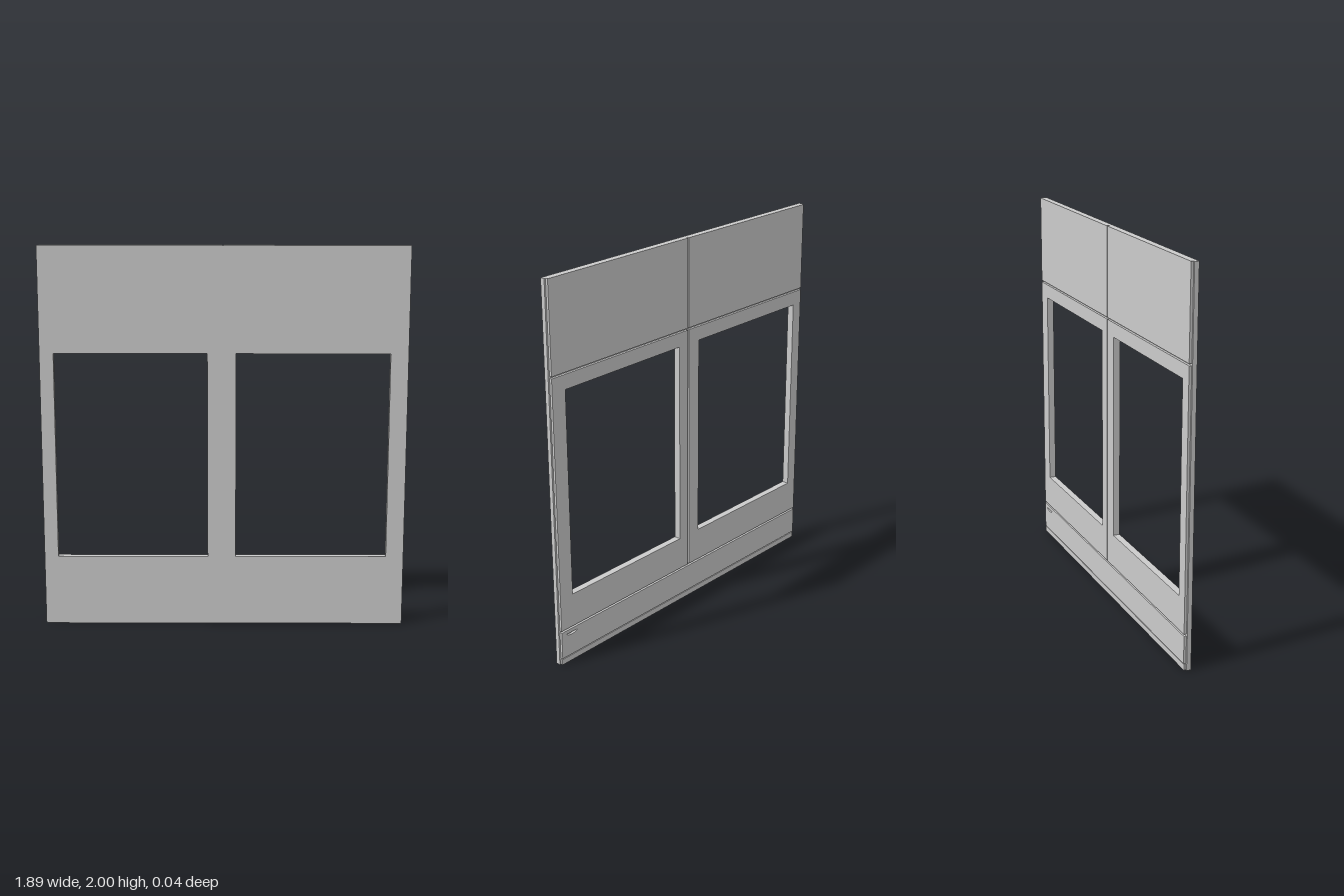
import * as THREE from 'three';

const material = new THREE.MeshStandardMaterial({ color: 0xcccccc, flatShading: true });
const HALF_W = 0.945, BACK_W = 0.936, FRONT = 0.018, BACK = -0.018, SEAM = -0.005;
const GAP = 0.005, MID_X = -0.005;
const windows = [[-0.873, -0.085], [0.062, 0.853]];
const SILL = 0.37, HEAD = 1.45;

function rectangle(target, x0, x1, y0, y1) {
  target.moveTo(x0, y0);
  target.lineTo(x1, y0);
  target.lineTo(x1, y1);
  target.lineTo(x0, y1);
  target.closePath();
  return target;
}

function board(name, x0, x1, y0, y1, z0, z1, holes = []) {
  const shape = rectangle(new THREE.Shape(), x0, x1, y0, y1);
  shape.holes.push(...holes);
  const geometry = new THREE.ExtrudeGeometry(shape, { depth: z1 - z0, bevelEnabled: false });
  geometry.translate(0, 0, z0);
  const mesh = new THREE.Mesh(geometry, material);
  mesh.name = name;
  return mesh;
}

const windowHole = ([x0, x1]) => rectangle(new THREE.Path(), x0, x1, SILL, HEAD);

export function createModel() {
  const group = new THREE.Group();
  group.name = 'windowPanel';

  // Continuous front sheet with two window openings
  group.add(board('frontSheet', -HALF_W, HALF_W, 0, 2, SEAM, FRONT, windows.map(windowHole)));

  // Back panels, separated by narrow grooves
  const columns = [[-BACK_W, MID_X - GAP], [MID_X + GAP, BACK_W]];
  columns.forEach(([x0, x1], i) => {
    const side = i === 0 ? 'right' : 'left';
    group.add(board(side + 'UpperPanel', x0, x1, 1.53 + GAP, 2, BACK, SEAM));
    group.add(board(side + 'WindowFrame', x0, x1, 0.187 + GAP, 1.53 - GAP, BACK, SEAM, [windowHole(windows[i])]));
  });

  // Lower panel with a small half-round finger slot
  const slot = new THREE.Path();
  slot.absellipse(0.865, 0.162, 0.036, 0.012, Math.PI, 2 * Math.PI, false);
  slot.closePath();
  group.add(board('lowerPanel', -BACK_W, BACK_W, 0.036, 0.187 - GAP, BACK, SEAM, [slot]));

  // Slightly recessed strip along the bottom edge
  group.add(board('bottomStrip', -BACK_W, BACK_W, 0, 0.03, BACK + 0.002, SEAM));
  return group;
}
